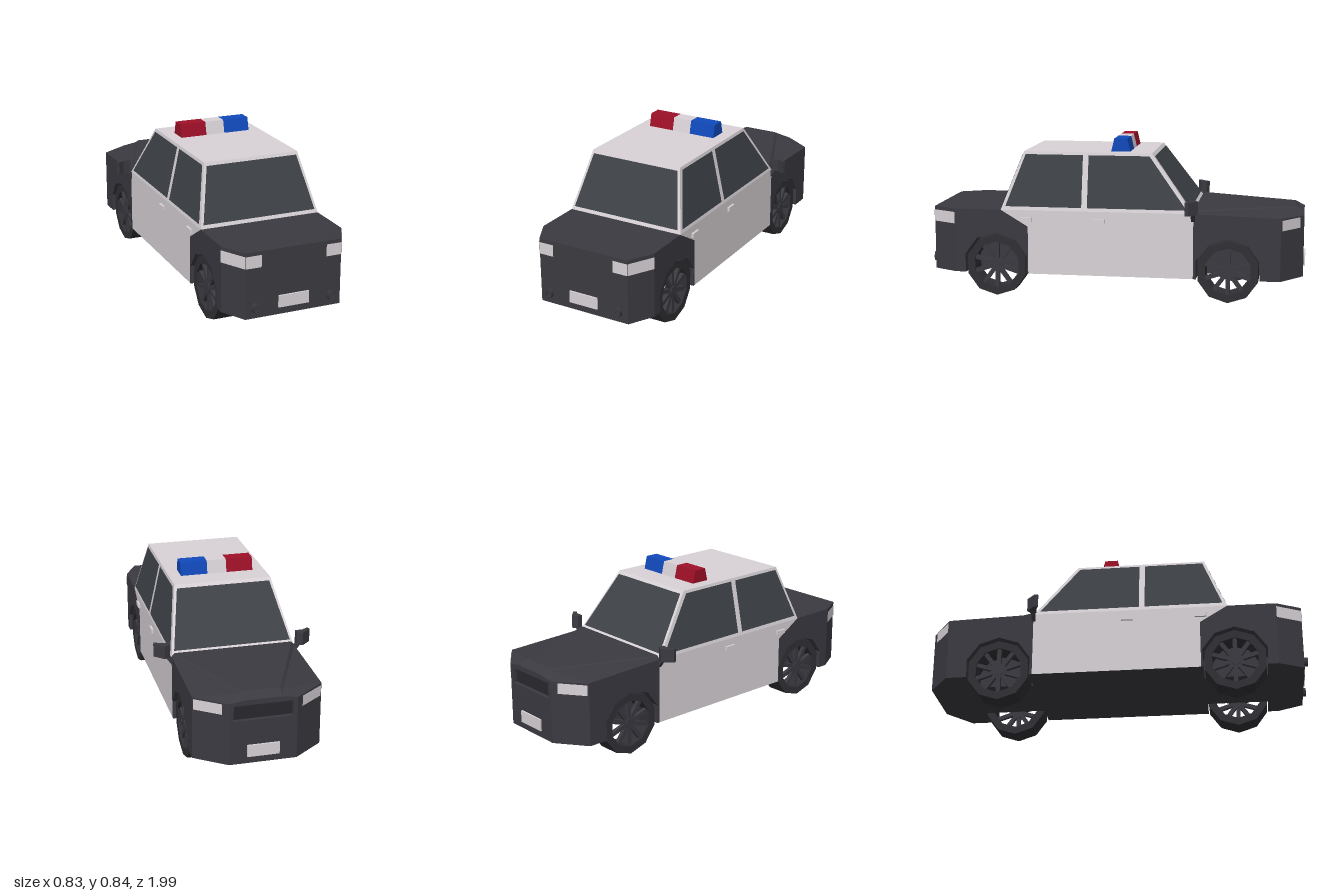
import * as THREE from 'three';

const mat = (name, color) => {
  const m = new THREE.MeshStandardMaterial({ color, side: THREE.DoubleSide });
  m.name = name;
  return m;
};

// Flat-faced surface from 3D polygons, each turned to face away from the car's middle
function surface(polys, lift = 0) {
  const pos = [];
  const mid = new THREE.Vector3(0, 0.4, 0);
  for (const poly of polys) {
    const p = poly.map((q) => new THREE.Vector3(...q));
    for (let i = 1; i < p.length - 1; i++) {
      let t = [p[0], p[i], p[i + 1]];
      const n = t[1].clone().sub(t[0]).cross(t[2].clone().sub(t[0])).normalize();
      const c = t[0].clone().add(t[1]).add(t[2]).divideScalar(3).sub(mid);
      if (n.dot(c) < 0) { t = [t[0], t[2], t[1]]; n.negate(); }
      t.forEach((v) => pos.push(...v.clone().addScaledVector(n, lift).toArray()));
    }
  }
  const g = new THREE.BufferGeometry();
  g.setAttribute('position', new THREE.Float32BufferAttribute(pos, 3));
  g.computeVertexNormals();
  return g;
}

// Splits a concave outline into triangles and places its points with a rule
function outline(points, place) {
  const contour = points.map(([u, v]) => new THREE.Vector2(u, v));
  if (THREE.ShapeUtils.isClockWise(contour)) contour.reverse();
  return THREE.ShapeUtils.triangulateShape(contour, [])
    .map((t) => t.map((i) => place(contour[i].x, contour[i].y)));
}

const mirrorX = (polys) => [...polys, ...polys.map((f) => f.map(([x, y, z]) => [-x, y, z]))];

const W = 0.325, LOW = 0.125, BELT = 0.465, ROOF = 0.77;
const AXLE = 0.167, REAR = 0.63, FRONT = -0.6;

// Wheel arch as [z, y] points, from -z to +z
function arch(zc) {
  const pts = [[zc - 0.164, LOW]];
  for (let k = -2; k <= 2; k++) {
    const a = k * Math.PI / 5;
    pts.push([zc + 0.176 * Math.sin(a), AXLE + 0.176 * Math.cos(a)]);
  }
  pts.push([zc + 0.164, LOW]);
  return pts;
}

function decagon(r) {
  return Array.from({ length: 10 }, (_, i) =>
    new THREE.Vector2(r * Math.sin(i * Math.PI / 5), r * Math.cos(i * Math.PI / 5)));
}

export function createModel() {
  const car = new THREE.Group();
  const black = mat('charcoal paint', 0x3b3a41);
  const white = mat('white paint', 0xd9d3d7);
  const glass = mat('tinted glass', 0x3e4247);
  const rubber = mat('tyre black', 0x313035);
  const grilleDark = mat('grille black', 0x29282d);
  const red = mat('beacon red', 0x9e1028);
  const blue = mat('beacon blue', 0x1149bb);
  const add = (name, geo, material, parent = car) => {
    const m = new THREE.Mesh(geo, material);
    m.name = name;
    parent.add(m);
    return m;
  };
  const box = (name, size, at, material) => {
    const m = add(name, new THREE.BoxGeometry(...size), material);
    m.position.set(...at);
    return m;
  };

  // Lower body sides
  const side = (pts) => mirrorX(outline(pts, (z, y) => [W, y, z]));
  add('frontFenders', surface(side([[-0.87, LOW], ...arch(FRONT), [-0.42, LOW], [-0.42, 0.468], [-0.87, 0.455]])), black);
  add('rearFenders', surface(side([[0.455, LOW], ...arch(REAR), [0.85, LOW], [0.85, BELT], [0.6, BELT], [0.455, 0.378]])), black);
  add('doors', surface(side([[-0.42, LOW], [0.455, LOW], [0.455, 0.378], [0.6, BELT], [-0.42, 0.468]])), white);

  // Wheel wells
  for (const zc of [REAR, FRONT]) {
    const a = arch(zc);
    const well = a.slice(1).map(([z, y], i) => [[W, a[i][1], a[i][0]], [0.18, a[i][1], a[i][0]], [0.18, y, z], [W, y, z]]);
    well.push(a.map(([z, y]) => [0.18, y, z]));
    add('wheelWells', surface(mirrorX(well)), black);
  }

  // Underside with openings for the wheels
  const half = [[0.255, 0.98], [W, 0.85]];
  for (const zc of [REAR, FRONT]) half.push([W, zc + 0.164], [0.18, zc + 0.164], [0.18, zc - 0.164], [W, zc - 0.164]);
  half.push([W, -0.87], [0.17, -0.985]);
  const plan = [...half, ...half.map(([x, z]) => [-x, z]).reverse()];
  add('underside', surface(outline(plan, (x, z) => [x, LOW, z])), black);

  // Boot lid and tail
  add('boot', surface([
    [[-W, BELT, 0.58], [-W, BELT, 0.85], [-0.255, BELT, 0.98], [0.255, BELT, 0.98], [W, BELT, 0.85], [W, BELT, 0.58]],
    [[-0.255, LOW, 0.98], [0.255, LOW, 0.98], [0.255, BELT, 0.98], [-0.255, BELT, 0.98]],
    ...mirrorX([[[0.255, LOW, 0.98], [W, LOW, 0.85], [W, BELT, 0.85], [0.255, BELT, 0.98]]]),
  ]), black);

  // Bonnet: raised centre panel with lower shoulders
  add('bonnetPanel', surface([
    [[-0.31, 0.487, -0.42], [0.31, 0.487, -0.42], [0.095, 0.487, -0.935], [-0.095, 0.487, -0.935]],
    [[-0.095, 0.487, -0.935], [0.095, 0.487, -0.935], [0.095, 0.462, -0.985], [-0.095, 0.462, -0.985]],
    ...mirrorX([[[0.31, 0.487, -0.42], [0.095, 0.487, -0.935], [0.108, 0.477, -0.935], [0.322, 0.475, -0.42]],
      [[0.095, 0.487, -0.935], [0.095, 0.462, -0.985], [0.108, 0.477, -0.935]]]),
  ]), black);
  add('bonnetShoulders', surface(mirrorX([
    [[0.108, 0.477, -0.935], [0.322, 0.475, -0.42], [W, 0.468, -0.42], [W, 0.455, -0.87]],
    [[0.108, 0.477, -0.935], [W, 0.455, -0.87], [0.17, 0.45, -0.985], [0.095, 0.462, -0.985]],
  ])), black);

  // Nose with recessed grille
  const gx = 0.148, g0 = 0.355, g1 = 0.435, zf = -0.985, zb = -0.965;
  add('nose', surface([
    [[-0.17, LOW, zf], [0.17, LOW, zf], [gx, g0, zf], [-gx, g0, zf]],
    [[-0.17, 0.45, zf], [0.17, 0.45, zf], [gx, g1, zf], [-gx, g1, zf]],
    [[-0.17, 0.45, zf], [0.17, 0.45, zf], [0.095, 0.462, zf], [-0.095, 0.462, zf]],
    [[-gx, g0, zf], [gx, g0, zf], [gx, g0, zb], [-gx, g0, zb]],
    [[-gx, g1, zf], [gx, g1, zf], [gx, g1, zb], [-gx, g1, zb]],
    ...mirrorX([
      [[0.17, LOW, zf], [0.17, 0.45, zf], [gx, g1, zf], [gx, g0, zf]],
      [[gx, g0, zf], [gx, g1, zf], [gx, g1, zb], [gx, g0, zb]],
      [[0.17, LOW, zf], [W, LOW, -0.87], [W, 0.455, -0.87], [0.17, 0.45, zf]],
    ]),
  ]), black);
  add('grille', surface([[[-gx, g0, zb], [gx, g0, zb], [gx, g1, zb], [-gx, g1, zb]]]), grilleDark);

  // Cabin shell and roof
  const R = 0.258, cabF = -0.42, cabB = 0.6, roofF = -0.195, roofB = 0.485;
  add('cabin', surface([
    [[-R, ROOF, roofF], [R, ROOF, roofF], [R, ROOF, roofB], [-R, ROOF, roofB]],
    [[-W, BELT, cabF], [W, BELT, cabF], [R, ROOF, roofF], [-R, ROOF, roofF]],
    [[-W, BELT, cabB], [W, BELT, cabB], [R, ROOF, roofB], [-R, ROOF, roofB]],
    ...mirrorX([[[W, BELT, cabF], [W, BELT, cabB], [R, ROOF, roofB], [R, ROOF, roofF]]]),
  ]), white);

  // Windows laid just proud of the cabin faces
  const rise = (y) => (y - BELT) / (ROOF - BELT);
  const onSide = ([z, y]) => [W + (R - W) * rise(y), y, z];
  add('sideWindows', surface(mirrorX([
    [[0.575, 0.484], [0.475, 0.755], [0.168, 0.755], [0.168, 0.484]].map(onSide),
    [[0.138, 0.484], [0.138, 0.755], [-0.183, 0.755], [-0.385, 0.484]].map(onSide),
  ]), 0.003), glass);
  const screen = (base, top, y0) => [[-0.308, y0], [0.308, y0], [0.248, 0.753], [-0.248, 0.753]]
    .map(([x, y]) => [x, y, base + (top - base) * rise(y)]);
  add('windscreen', surface([screen(cabF, roofF, 0.49)], 0.003), glass);
  add('rearWindow', surface([screen(cabB, roofB, 0.483)], 0.003), glass);

  // Lamps
  const nearNose = (t, y) => [W - 0.155 * t, y, -0.87 - 0.115 * t];
  add('headlights', surface(mirrorX([
    [nearNose(0.04, 0.39), nearNose(0.82, 0.39), nearNose(0.82, 0.445), nearNose(0.04, 0.445)],
  ]), 0.003), white);
  add('tailLights', surface(mirrorX([
    [[0.173, 0.385, 0.98], [0.255, 0.385, 0.98], [0.255, 0.447, 0.98], [0.173, 0.447, 0.98]],
    [[0.255, 0.385, 0.98], [W, 0.385, 0.85], [W, 0.447, 0.85], [0.255, 0.447, 0.98]],
  ]), 0.003), white);

  // Number plates
  box('rearPlate', [0.162, 0.062, 0.009], [0, 0.193, 0.984], white);
  box('frontPlate', [0.162, 0.062, 0.009], [0, 0.193, -0.99], white);

  // Roof light bar, narrower at the top
  const bar = new THREE.Shape([[-0.03, 0.768], [0.073, 0.768], [0.056, 0.838], [-0.013, 0.838]].map((p) => new THREE.Vector2(...p)));
  for (const [name, x0, x1, m] of [['redBeacon', -0.195, -0.052, red], ['lightBarCentre', -0.052, 0.052, white], ['blueBeacon', 0.052, 0.195, blue]]) {
    const g = new THREE.ExtrudeGeometry(bar, { depth: x1 - x0, bevelEnabled: false });
    g.rotateY(Math.PI / 2).translate(x0, 0, 0);
    add(name, g, m);
  }

  // Wheel: tyre ring, spokes and hub
  const tyre = new THREE.Shape(decagon(0.165));
  tyre.holes.push(new THREE.Path(decagon(0.124)));
  const tyreGeo = new THREE.ExtrudeGeometry(tyre, { depth: 0.12, bevelEnabled: false });
  tyreGeo.translate(0, 0, -0.06).rotateY(Math.PI / 2);
  const spokeGeo = new THREE.BoxGeometry(0.02, 0.115, 0.022).translate(0, 0.07, 0);
  const hubGeo = new THREE.CylinderGeometry(0.028, 0.028, 0.026, 10).rotateZ(Math.PI / 2);

  // Plan outline of a door mirror
  const mirrorPlan = new THREE.Shape([[0.335, 0.43], [0.365, 0.447], [0.415, 0.4], [0.408, 0.382], [0.375, 0.402], [0.335, 0.402]]
    .map((p) => new THREE.Vector2(...p)));

  for (const s of [-1, 1]) {
    for (const [name, z] of [['rearWheel', REAR], ['frontWheel', FRONT]]) {
      const wheel = new THREE.Group();
      wheel.name = name;
      wheel.position.set(s * 0.25, AXLE - 0.002, z);
      add('tyre', tyreGeo, rubber, wheel);
      for (let i = 0; i < 10; i++) {
        const spoke = add('spoke', spokeGeo, black, wheel);
        spoke.position.x = s * 0.04;
        spoke.rotation.x = i * Math.PI / 5;
      }
      add('hub', hubGeo, black, wheel).position.x = s * 0.042;
      car.add(wheel);
    }

    // Door handles
    for (const z of [0.46, 0.075]) box('doorHandle', [0.014, 0.022, 0.06], [s * 0.33, 0.418, z], white);

    // Door mirror on its stalk
    const g = new THREE.ExtrudeGeometry(mirrorPlan, { depth: 0.07, bevelEnabled: false });
    g.rotateX(-Math.PI / 2).translate(0, 0.471, 0);
    const head = add('mirrorHead', g, black);
    head.scale.x = s;
    const stalk = box('mirrorStalk', [0.022, 0.07, 0.02], [s * 0.335, 0.458, -0.418], black);
    stalk.rotation.z = -s * 0.65;

    // Exhaust pipe
    const pipe = add('exhaust', new THREE.CylinderGeometry(0.02, 0.02, 0.04, 10, 1, true).rotateX(Math.PI / 2), black);
    pipe.position.set(s * 0.202, 0.18, 0.98);
    pipe.scale.y = 1.25;
    const bore = add('exhaustBore', new THREE.RingGeometry(0.013, 0.02, 10), black);
    bore.position.set(s * 0.202, 0.18, 1);
    bore.scale.y = 1.25;
  }
  return car;
}
